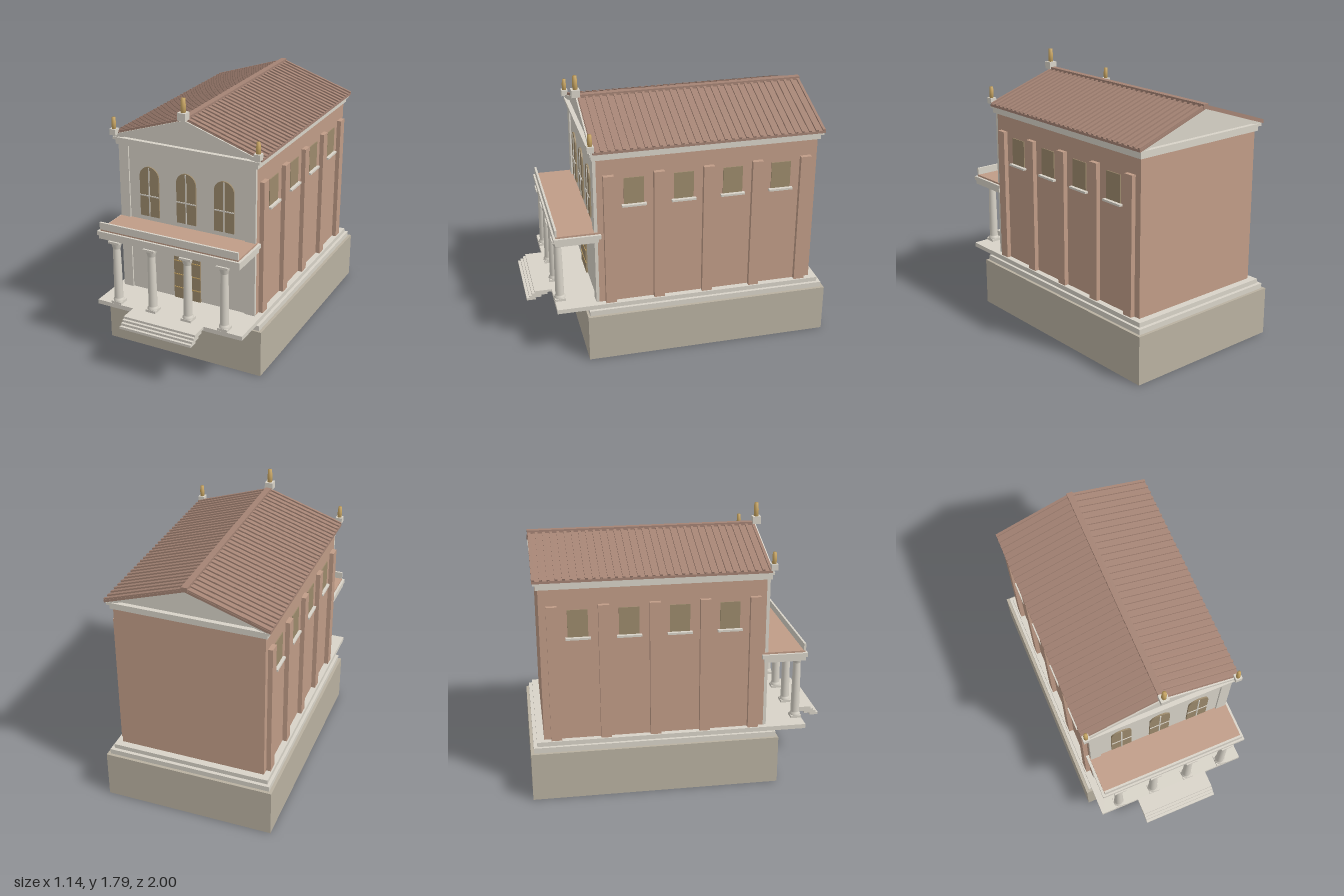
import * as THREE from 'three';

const mat = (color) => new THREE.MeshStandardMaterial({ color });
const stone = mat(0xd8d3c8), podiumStone = mat(0xb9b1a1), brick = mat(0xc09c87);
const tile = mat(0xa48374), bronze = mat(0x9c8a6c), gold = mat(0xcba865);

export function createModel() {
  const root = new THREE.Group();
  root.name = 'temple';

  const add = (name, geometry, material, parent = root) => {
    const m = new THREE.Mesh(geometry, material);
    m.name = name;
    parent.add(m);
    return m;
  };
  // Box given by its limits on each axis
  const box = (name, x0, x1, y0, y1, z0, z1, material = stone, parent = root) => {
    const m = add(name, new THREE.BoxGeometry(x1 - x0, y1 - y0, z1 - z0), material, parent);
    m.position.set((x0 + x1) / 2, (y0 + y1) / 2, (z0 + z1) / 2);
    return m;
  };
  const extrude = (name, shape, z0, z1, material, parent = root) => {
    const g = new THREE.ExtrudeGeometry(shape, { depth: z1 - z0, bevelEnabled: false, curveSegments: 16 });
    g.translate(0, 0, z0);
    return add(name, g, material, parent);
  };
  const poly = (pts) => new THREE.Shape(pts.map(([x, y]) => new THREE.Vector2(x, y)));

  // Podium and stepped floor
  box('podium', -0.57, 0.57, 0, 0.325, -1, 0.635, podiumStone);
  box('lowerStep', -0.55, 0.55, 0.325, 0.36, -0.98, 0.62);
  box('floor', -0.53, 0.53, 0.36, 0.39, -0.957, 0.83);

  // Entrance stairs
  for (let i = 0; i < 4; i++) {
    const top = 0.39 - i * 0.0155;
    box('stairTread', -0.26, 0.26, top - 0.0165, top, 0.82 + i * 0.04, 0.946 + i * 0.018);
  }

  // Hall walls, stone front and corner piers
  box('hall', -0.49, 0.49, 0.39, 1.41, -0.91, 0.545, brick);
  box('frontWall', -0.49, 0.49, 0.39, 1.41, 0.545, 0.555);
  for (const s of [-1, 1]) {
    const pier = box('cornerPier', -0.035, 0.035, 0.39, 1.41, 0.55, 0.566);
    pier.position.x = s * 0.455;
  }

  // Side pilasters and windows with sills
  for (const s of [-1, 1]) {
    const side = new THREE.Group();
    side.name = s > 0 ? 'leftSide' : 'rightSide';
    for (let i = 0; i < 5; i++) {
      const z = 0.47 - i * 0.325;
      const p = box('sidePilaster', 0, 0.04, 0.39, 1.3, z - 0.035, z + 0.035, brick, side);
      p.position.x = s * 0.5;
    }
    for (let i = 0; i < 4; i++) {
      const z = 0.306 - i * 0.325;
      const w = box('sideWindow', 0, 0.02, 1.09, 1.27, z - 0.065, z + 0.065, bronze, side);
      w.position.x = s * 0.486;
      const sill = box('windowSill', 0, 0.04, 1.075, 1.088, z - 0.08, z + 0.08, stone, side);
      sill.position.x = s * 0.495;
    }
    root.add(side);
  }

  // Arched front windows
  for (const x of [-0.27, 0, 0.27]) {
    const win = new THREE.Group();
    win.name = 'archedWindow';
    win.position.x = x;
    const arch = new THREE.Shape();
    arch.moveTo(-0.07, 0.94);
    arch.lineTo(0.07, 0.94);
    arch.lineTo(0.07, 1.215);
    arch.absarc(0, 1.215, 0.07, 0, Math.PI, false);
    arch.closePath();
    extrude('windowPane', arch, 0.55, 0.565, bronze, win);
    box('mullion', -0.004, 0.004, 0.94, 1.28, 0.56, 0.569, stone, win);
    box('transom', -0.07, 0.07, 1.081, 1.089, 0.56, 0.569, stone, win);
    root.add(win);
  }

  // Door with gilded bars
  box('door', -0.097, 0.097, 0.39, 0.78, 0.55, 0.566, bronze);
  for (const y of [0.47, 0.567, 0.665]) box('doorBar', -0.097, 0.097, y - 0.003, y + 0.003, 0.56, 0.569, gold);

  // Porch columns
  const shaft = new THREE.LatheGeometry([
    [0.036, 0.405], [0.036, 0.415], [0.03, 0.425], [0.029, 0.43],
    [0.0285, 0.55], [0.027, 0.68], [0.024, 0.785],
  ].map(([r, y]) => new THREE.Vector2(r, y)), 24);
  const capital = new THREE.CylinderGeometry(0.038, 0.025, 0.045, 24);
  capital.translate(0, 0.8075, 0);
  for (const x of [-0.39, -0.13, 0.13, 0.39]) {
    const col = new THREE.Group();
    col.name = 'porchColumn';
    box('plinth', -0.036, 0.036, 0.39, 0.407, -0.036, 0.036, stone, col);
    add('shaft', shaft, stone, col);
    add('capital', capital, stone, col);
    box('abacus', -0.04, 0.04, 0.826, 0.841, -0.04, 0.04, stone, col);
    col.position.set(x, 0, 0.793);
    root.add(col);
  }

  // Porch entablature, roof and parapet
  box('porchBeam', -0.505, 0.505, 0.84, 0.867, 0.54, 0.82);
  box('porchCornice', -0.512, 0.512, 0.867, 0.895, 0.525, 0.83);
  box('porchRoof', -0.495, 0.495, 0.89, 0.907, 0.54, 0.815, brick);
  box('porchParapet', -0.495, 0.495, 0.907, 0.955, 0.806, 0.82);

  // Main cornice
  box('frieze', -0.505, 0.505, 1.41, 1.443, -0.925, 0.575);
  box('cornice', -0.52, 0.52, 1.443, 1.46, -0.94, 0.585);

  // Gable and raking cornices
  const slope = 0.33;
  const chevron = (w, apex, t) => poly([
    [-w, apex - slope * w - t], [0, apex - t], [w, apex - slope * w - t],
    [w, apex - slope * w], [0, apex], [-w, apex - slope * w],
  ]);
  extrude('gable', poly([[-0.505, 1.455], [0.505, 1.455], [0, 1.62]]), -0.91, 0.555, stone);
  for (const [z0, z1] of [[0.54, 0.578], [-0.938, -0.9]]) {
    extrude('rakingCornice', chevron(0.52, 1.645, 0.024), z0, z1, stone);
    extrude('rakingMoulding', chevron(0.5, 1.624, 0.012), z0 + 0.008, z1 - 0.008, stone);
  }

  // Tiled roof: slabs, cover-tile ribs and ridge
  extrude('roofSlab', chevron(0.53, 1.65, 0.016), -0.945, 0.568, tile);
  const angle = Math.atan(slope), length = 0.53 / Math.cos(angle);
  const rib = new THREE.BoxGeometry(length, 0.016, 0.018);
  const ribCount = 33;
  for (const s of [-1, 1]) {
    for (let i = 0; i < ribCount; i++) {
      const r = add('tileRib', rib, tile);
      r.position.set(s * 0.265, 1.652 - slope * 0.265, -0.934 + (i * 1.49) / (ribCount - 1));
      r.rotation.z = -s * angle;
    }
  }
  box('ridge', -0.02, 0.02, 1.635, 1.665, -0.947, 0.56, tile);

  // Gilded finials on pedestals
  const finial = (x, y, half, h, r, top) => {
    const g = new THREE.Group();
    g.name = 'finial';
    box('pedestal', -half, half, 0, h, -half, half, stone, g);
    const t = top - y - h;
    const profile = [[0, 0], [r, 0], [r * 1.05, t * 0.5], [r * 0.85, t], [0, t]];
    const f = add('ornament', new THREE.LatheGeometry(profile.map((p) => new THREE.Vector2(...p)), 16), gold, g);
    f.position.y = h;
    g.position.set(x, y, 0.58);
    root.add(g);
  };
  finial(0, 1.65, 0.028, 0.05, 0.016, 1.79);
  for (const s of [-1, 1]) finial(s * 0.51, 1.475, 0.022, 0.04, 0.014, 1.59);

  return root;
}
